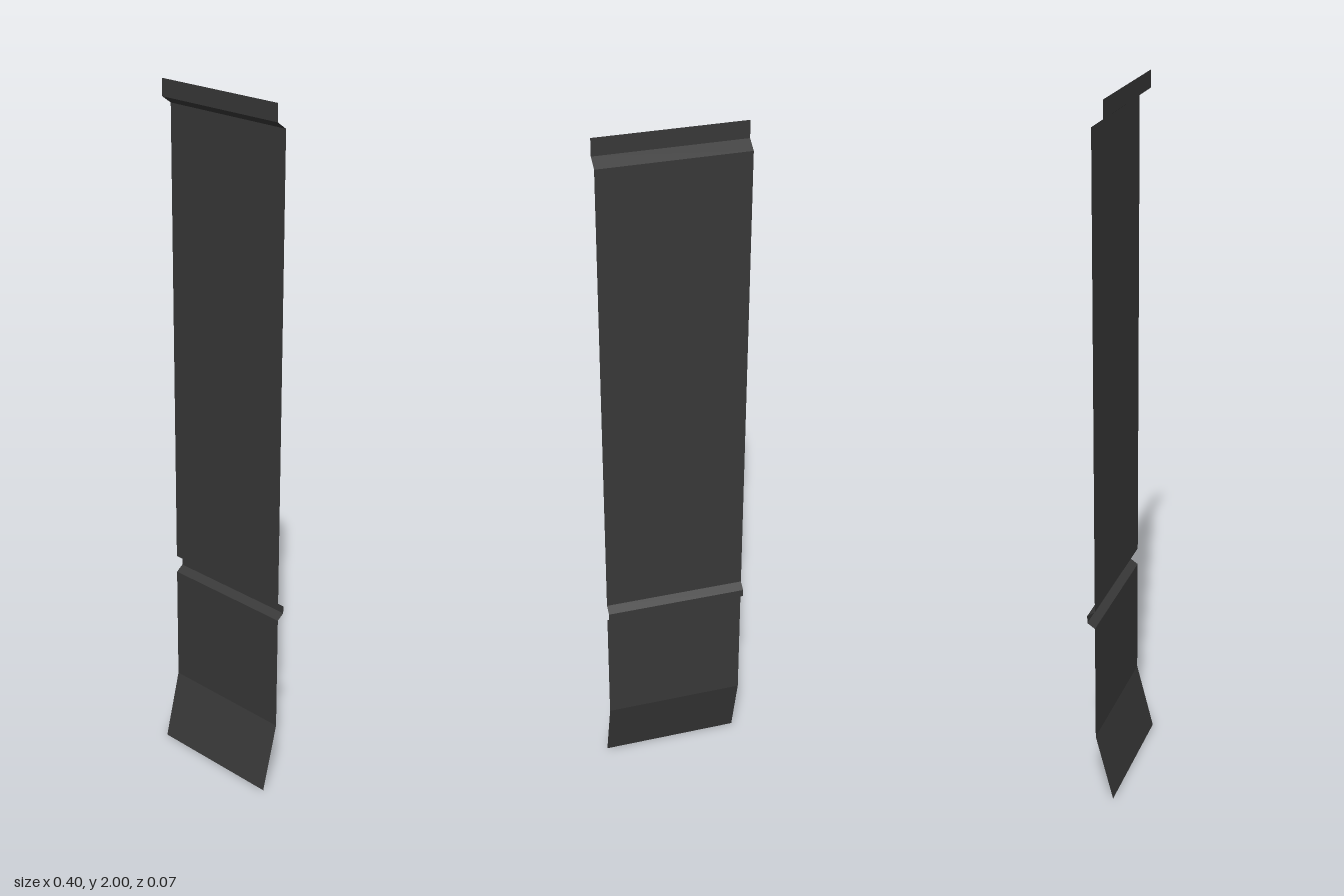
import * as THREE from 'three';

const WIDTH = 0.4;

// Folded sheet: one row of points per [y, z] fold, listed from top to bottom
function foldedSheet(name, profile, material) {
  const sheet = new THREE.PlaneGeometry(WIDTH, 1, 1, profile.length - 1);
  const pos = sheet.attributes.position;
  for (let i = 0; i < pos.count; i++) {
    const [y, z] = profile[Math.floor(i / 2)];
    pos.setY(i, y);
    pos.setZ(i, z);
  }
  const geometry = sheet.toNonIndexed(); // crisp folds
  geometry.computeVertexNormals();
  const mesh = new THREE.Mesh(geometry, material);
  mesh.name = name;
  return mesh;
}

export function createModel() {
  const group = new THREE.Group();
  group.name = 'foldedPanel';

  const darkGrey = new THREE.MeshStandardMaterial({ color: 0x383838, side: THREE.DoubleSide });
  darkGrey.name = 'dark grey';

  const face = -0.015; // depth of the main sheet
  const groove = -0.037; // depth of the pressed groove

  group.add(
    // Lip stepped forward along the top edge
    foldedSheet('topLip', [[2, 0.015], [1.953, 0.015], [1.932, face]], darkGrey),
    foldedSheet('mainPanel', [[1.932, face], [0.602, face]], darkGrey),
    // Groove pressed towards the back
    foldedSheet('groove', [[0.602, face], [0.587, groove], [0.565, groove], [0.55, face]], darkGrey),
    foldedSheet('lowerPanel', [[0.55, face], [0.2, face]], darkGrey),
    // Bottom edge kicked forward
    foldedSheet('bottomFlare', [[0.2, face], [0, 0.036]], darkGrey),
  );
  return group;
}
